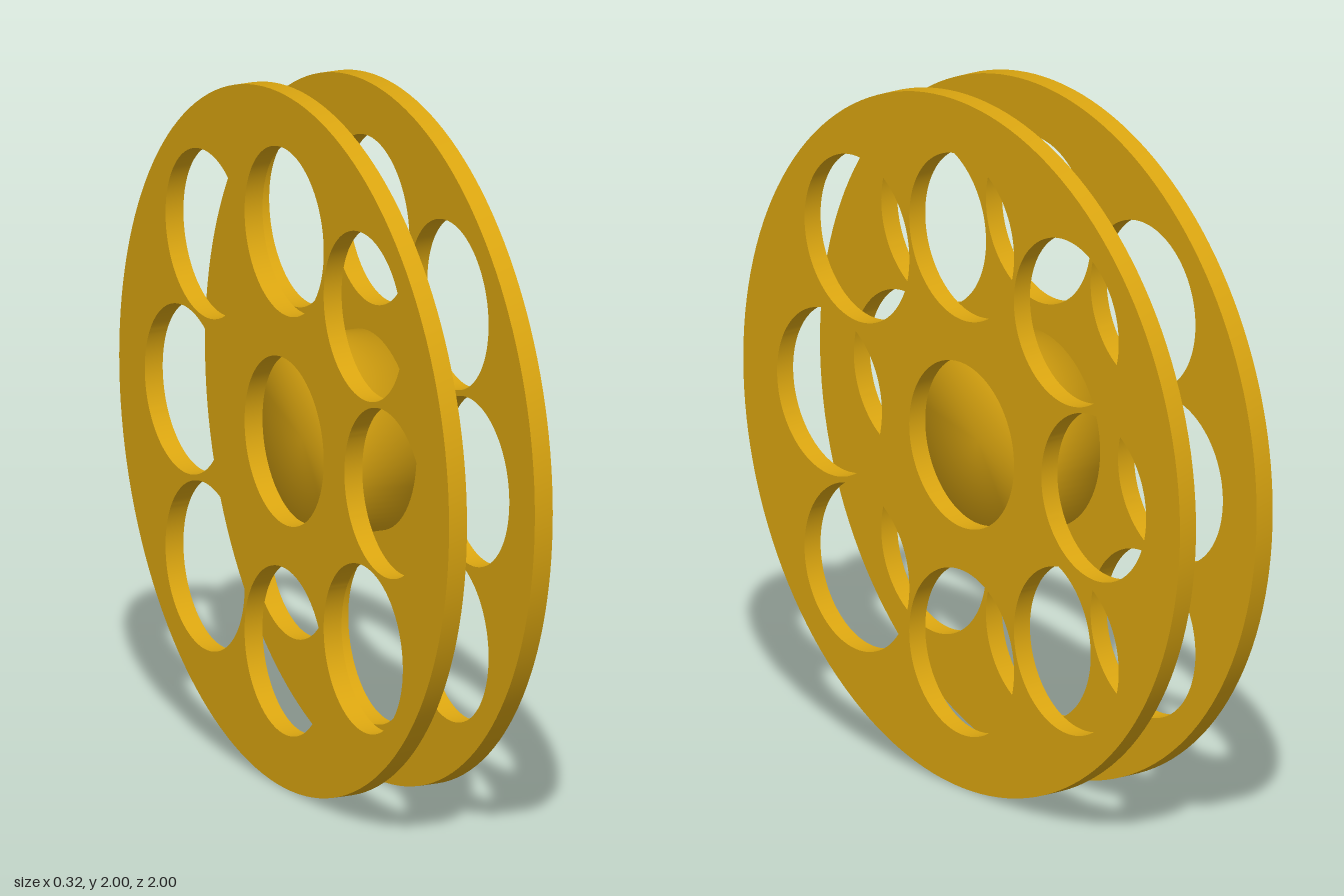
import * as THREE from 'three';
import { mergeVertices, toCreasedNormals } from 'three/addons/utils/BufferGeometryUtils.js';

const INNER = 0.106, OUTER = 0.162; // disc faces, measured from the middle
const HOLE_R = 0.24;

// Round plate with a centre hole and eight holes around it
function discGeometry() {
  const shape = new THREE.Shape().absarc(0, 0, 1, 0, Math.PI * 2, false);
  const addHole = (x, y) =>
    shape.holes.push(new THREE.Path().absarc(x, y, HOLE_R, 0, Math.PI * 2, true));
  addHole(0, 0);
  for (let i = 0; i < 8; i++) {
    const a = (i * Math.PI) / 4;
    const d = i % 2 ? 0.678 : 0.605; // diagonal holes sit further out
    addHole(Math.cos(a) * d, Math.sin(a) * d);
  }
  const geo = new THREE.ExtrudeGeometry(shape, {
    depth: OUTER - INNER, bevelEnabled: false, curveSegments: 72,
  });
  geo.translate(0, 0, (INNER - OUTER) / 2);
  geo.rotateY(Math.PI / 2);
  return toCreasedNormals(geo, Math.PI / 6);
}

// Drum between the discs, shaded softly over its rims
function hubGeometry() {
  const geo = new THREE.CylinderGeometry(0.283, 0.283, INNER * 2, 72);
  geo.rotateZ(Math.PI / 2);
  geo.deleteAttribute('uv');
  geo.deleteAttribute('normal');
  const smooth = mergeVertices(geo);
  smooth.computeVertexNormals();
  return smooth;
}

export function createModel() {
  const gold = new THREE.MeshStandardMaterial({ color: 0xdaa510 });
  gold.name = 'gold';
  const reel = new THREE.Group();
  reel.name = 'reel';

  const disc = discGeometry();
  for (const [name, side] of [['leftDisc', 1], ['rightDisc', -1]]) {
    const mesh = new THREE.Mesh(disc, gold);
    mesh.name = name;
    mesh.position.set((side * (INNER + OUTER)) / 2, 1, 0);
    reel.add(mesh);
  }

  const hub = new THREE.Mesh(hubGeometry(), gold);
  hub.name = 'hub';
  hub.position.y = 1;
  reel.add(hub);
  return reel;
}
